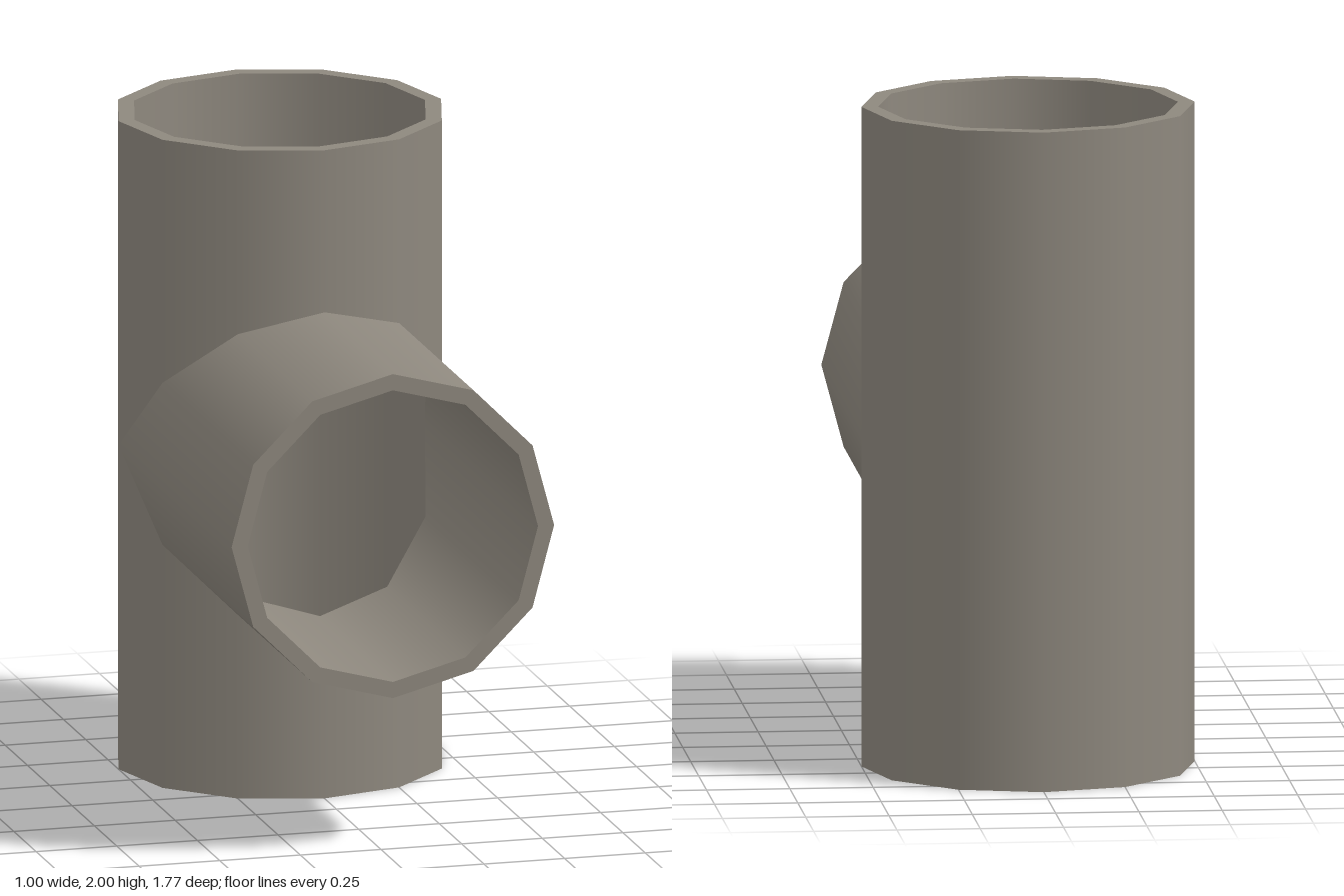
import * as THREE from 'three';

const SIDES = 12, OUTER = 0.5, INNER = 0.45;
const HEIGHT = 2, BRANCH_Y = 1, AXIS_Z = -0.383, BRANCH_LENGTH = 1.266;
const material = new THREE.MeshStandardMaterial({ color: 0x8e887e });

function addMesh(parent, name, geometry) {
  const mesh = new THREE.Mesh(geometry, material);
  mesh.name = name;
  parent.add(mesh);
  return mesh;
}

// Smooth tube wall around y; low and high give its end heights from the
// distance |z| to the axis, so that ends can be mitred.
function wallGeometry(radius, inward, first, last, low, high) {
  const positions = [], normals = [], indices = [];
  const sign = inward ? -1 : 1;
  for (let i = first; i <= last; i++) {
    const angle = (i / SIDES) * Math.PI * 2;
    const c = Math.cos(angle), s = Math.sin(angle);
    const depth = Math.abs(radius * s);
    for (const y of [low(depth), high(depth)]) {
      positions.push(radius * c, y, radius * s);
      normals.push(sign * c, 0, sign * s);
    }
    if (i === last) break;
    const a = (i - first) * 2;
    if (inward) indices.push(a, a + 2, a + 1, a + 1, a + 2, a + 3);
    else indices.push(a, a + 1, a + 2, a + 1, a + 3, a + 2);
  }
  const geometry = new THREE.BufferGeometry();
  geometry.setAttribute('position', new THREE.Float32BufferAttribute(positions, 3));
  geometry.setAttribute('normal', new THREE.Float32BufferAttribute(normals, 3));
  geometry.setIndex(indices);
  return geometry;
}

// Flat ring closing the wall thickness at an open end
function addRim(parent, name, y, up) {
  const rim = addMesh(parent, name, new THREE.RingGeometry(INNER, OUTER, SIDES));
  rim.rotation.x = up ? -Math.PI / 2 : Math.PI / 2;
  rim.position.y = y;
}

export function createModel() {
  const model = new THREE.Group();
  model.name = 'pipeTee';

  // Upright pipe, and the branch turned to run along +z
  const mainPipe = new THREE.Group();
  mainPipe.name = 'mainPipe';
  mainPipe.position.z = AXIS_Z;
  const branchPipe = new THREE.Group();
  branchPipe.name = 'branchPipe';
  branchPipe.position.set(0, BRANCH_Y, AXIS_Z);
  branchPipe.rotation.x = Math.PI / 2;
  model.add(mainPipe, branchPipe);

  const half = SIDES / 2;
  for (const [label, radius, inward] of [['outer', OUTER, false], ['inner', INNER, true]]) {
    const wall = (parent, name, ...range) =>
      addMesh(parent, label + name, wallGeometry(radius, inward, ...range));
    // Back half is whole; front half is cut along the 45 degree mitre
    wall(mainPipe, 'BackWall', half, SIDES, () => 0, () => HEIGHT);
    wall(mainPipe, 'LowerFrontWall', 0, half, () => 0, (d) => BRANCH_Y - d);
    wall(mainPipe, 'UpperFrontWall', 0, half, (d) => BRANCH_Y + d, () => HEIGHT);
    wall(branchPipe, 'BranchWall', 0, SIDES, (d) => d, () => BRANCH_LENGTH);
  }

  addRim(mainPipe, 'topRim', HEIGHT, true);
  addRim(mainPipe, 'bottomRim', 0, false);
  addRim(branchPipe, 'branchRim', BRANCH_LENGTH, true);
  return model;
}
